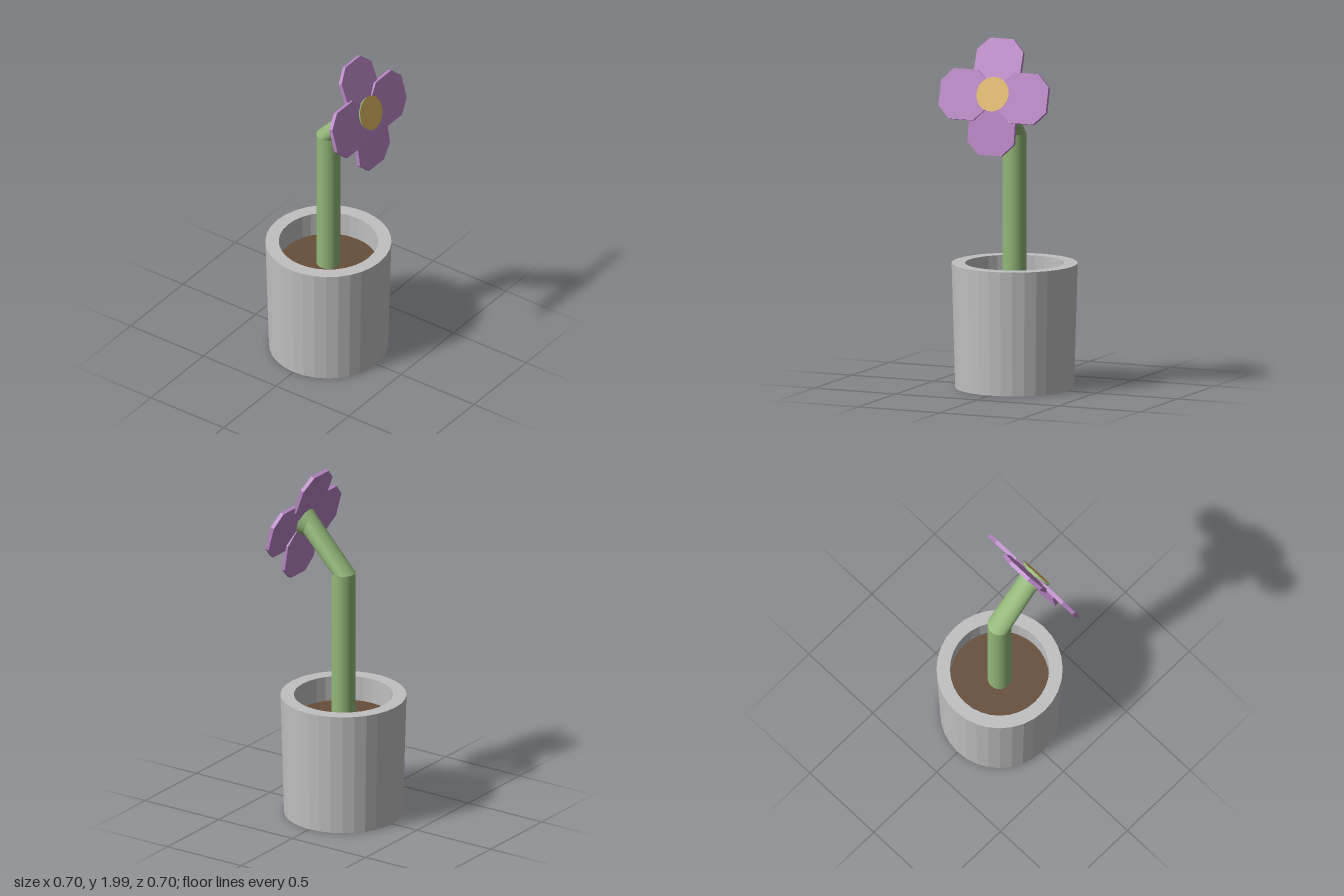
import * as THREE from 'three';

const SIDES = 32;

function material(name, color) {
  const m = new THREE.MeshStandardMaterial({ color });
  m.name = name;
  m.flatShading = true;
  return m;
}

function part(name, geometry, mat) {
  const mesh = new THREE.Mesh(geometry, mat);
  mesh.name = name;
  return mesh;
}

// Stem cross-sections from soil to flower: centre height, centre depth, radius, tilt
const RINGS = [
  { y: 0.55, z: 0, r: 0.067, tilt: 0 },
  { y: 1.434, z: 0, r: 0.067, tilt: 0 },
  { y: 1.668, z: 0.222, r: 0.063, tilt: 1.22 },
  { y: 1.698, z: 0.295, r: 0.098, tilt: 1.25 },
];

// Bend a straight tube by placing each of its rings
function stemGeometry() {
  const g = new THREE.CylinderGeometry(1, 1, 1, SIDES, RINGS.length - 1, true);
  const pos = g.attributes.position;
  const uv = g.attributes.uv;
  for (let i = 0; i < pos.count; i++) {
    const { y, z, r, tilt } = RINGS[Math.round(uv.getY(i) * (RINGS.length - 1))];
    const px = pos.getX(i) * r;
    const pz = pos.getZ(i) * r;
    pos.setXYZ(i, px, y - pz * Math.sin(tilt), z + pz * Math.cos(tilt));
  }
  g.computeVertexNormals();
  return g;
}

// Eight-sided petal pointing up from the flower centre
function petalGeometry() {
  const half = [[0.07, 0.035], [0.142, 0.11], [0.142, 0.26], [0.071, 0.33]];
  const outline = [...half, ...half.map(([x, y]) => [-x, y]).reverse()];
  const shape = new THREE.Shape(outline.map(([x, y]) => new THREE.Vector2(x, y)));
  const g = new THREE.ExtrudeGeometry(shape, { depth: 0.022, bevelEnabled: false });
  return g.translate(0, 0, -0.011);
}

export function createModel() {
  const model = new THREE.Group();
  model.name = 'pottedFlower';
  const grey = material('pot grey', 0xc0c0c0);
  const brown = material('soil brown', 0x664e3a);
  const green = material('stem green', 0x93b779);
  const purple = material('petal purple', 0xb985c5);
  const yellow = material('centre yellow', 0xd9b25f);

  // Tapered pot with a thick rim and straight inner wall
  const profile = [[0, 0], [0.332, 0], [0.352, 0.703], [0.277, 0.703], [0.277, 0.55]];
  model.add(part('pot', new THREE.LatheGeometry(
    profile.map(([x, y]) => new THREE.Vector2(x, y)), SIDES), grey));

  const soil = part('soil', new THREE.CircleGeometry(0.277, SIDES), brown);
  soil.rotation.x = -Math.PI / 2;
  soil.position.y = 0.56;
  model.add(soil);

  // Bent stem flaring into the flower head
  model.add(part('stem', stemGeometry(), green));

  const head = RINGS[RINGS.length - 1];
  const centre = part('flowerCentre', new THREE.CircleGeometry(head.r, SIDES), yellow);
  centre.position.set(0, head.y, head.z);
  centre.rotation.x = head.tilt - Math.PI / 2;
  model.add(centre);

  // Petals: turn around the centre, then lean back
  const petal = petalGeometry();
  const petals = [
    ['topPetal', 0, 20],
    ['rightPetal', 90, 14.5],
    ['bottomPetal', 180, 8.5],
    ['leftPetal', -90, 14.5],
  ];
  for (const [name, turn, lean] of petals) {
    const mesh = part(name, petal, purple);
    mesh.position.set(0, 1.681, 0.272);
    mesh.rotation.set(-THREE.MathUtils.degToRad(lean), 0, THREE.MathUtils.degToRad(turn));
    model.add(mesh);
  }
  return model;
}
